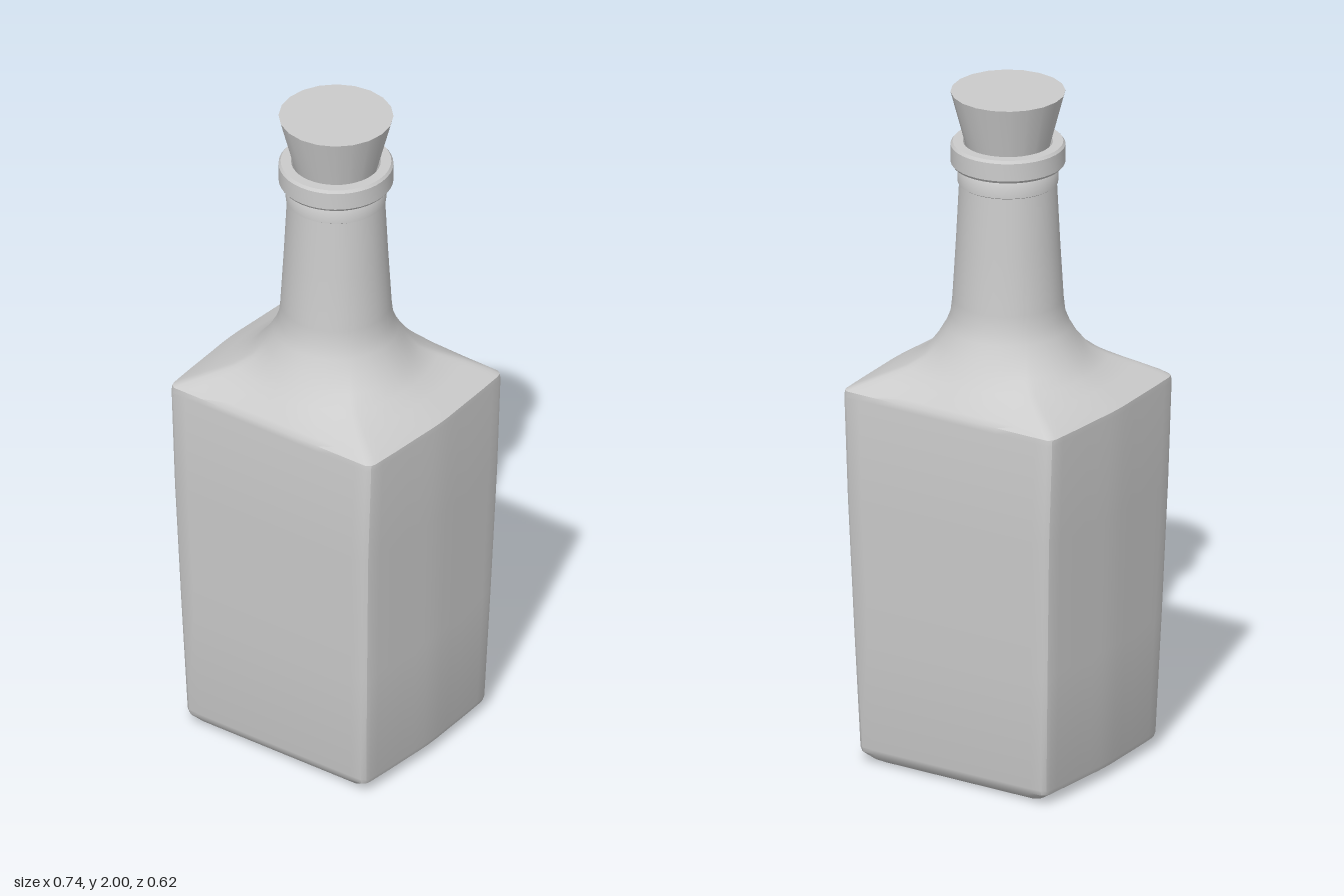
import * as THREE from 'three';
import { mergeVertices, toCreasedNormals } from 'three/addons/utils/BufferGeometryUtils.js';

// One quarter of the body outline in unit half-sizes: bowed side, cut corner, flat front
const quarter = [[1, 0], [0.998, 0.12], [0.99, 0.28], [0.982, 0.45], [0.973, 0.65], [0.963, 0.82], [0.957, 0.92],
  [0.945, 0.97], [0.91, 1], [0.8, 1], [0.65, 1], [0.45, 1], [0.28, 1], [0.12, 1]];

function unitOutline() {
  const mirrored = quarter.slice(1).reverse().map(([x, z]) => [-x, z]);
  const half = [...quarter, [0, 1], ...mirrored];
  return [...half, ...half.map(([x, z]) => [-x, -z])];
}

// Sections [y, halfX, halfZ, radius, roundness] joined bottom to top
function loft(sections) {
  const outline = unitOutline();
  const n = outline.length;
  const pos = [];
  const index = [];
  for (const [y, hx, hz, r, t] of sections) {
    for (const [u, v] of outline) {
      const a = Math.atan2(v * 0.31, u * 0.36);
      pos.push(THREE.MathUtils.lerp(u * hx, Math.cos(a) * r, t), y,
        THREE.MathUtils.lerp(v * hz, Math.sin(a) * r, t));
    }
  }
  for (let s = 0; s < sections.length - 1; s++) {
    for (let i = 0; i < n; i++) {
      const a = s * n + i;
      const b = s * n + (i + 1) % n;
      index.push(a, a + n, b, b, a + n, b + n);
    }
  }
  const g = new THREE.BufferGeometry();
  g.setAttribute('position', new THREE.Float32BufferAttribute(pos, 3));
  g.setIndex(index);
  return toCreasedNormals(mergeVertices(g), 0.65);
}

function lathe(points, sides) {
  const g = new THREE.LatheGeometry(points.map(([r, y]) => new THREE.Vector2(r, y)), sides);
  g.deleteAttribute('uv');
  g.deleteAttribute('normal');
  return toCreasedNormals(mergeVertices(g), 0.6);
}

export function createModel() {
  const model = new THREE.Group();
  const material = new THREE.MeshStandardMaterial({ color: 0xcccccc, side: THREE.DoubleSide });
  const add = (name, geometry) => {
    const mesh = new THREE.Mesh(geometry, material);
    mesh.name = name;
    model.add(mesh);
  };

  // Hollow base, tapered square body, shoulders blending into the round neck
  add('bottle', loft([
    [0.05, 0.001, 0.001, 0.001, 1],
    [0.045, 0, 0, 0.08, 1],
    [0.03, 0, 0, 0.15, 1],
    [0.005, 0.25, 0.22, 0.2, 0.1],
    [0.005, 0.27, 0.245, 0.2, 0],
    [0.015, 0.295, 0.262, 0.2, 0],
    [0.036, 0.327, 0.28, 0.2, 0],
    [0.05, 0.331, 0.283, 0.2, 0],
    [0.4, 0.344, 0.296, 0.2, 0],
    [0.8, 0.358, 0.309, 0.2, 0],
    [1.105, 0.37, 0.31, 0.2, 0],
    [1.122, 0.369, 0.308, 0.2, 0],
    [1.135, 0.35, 0.296, 0.33, 0.04],
    [1.163, 0.305, 0.268, 0.29, 0.25],
    [1.19, 0.262, 0.245, 0.253, 0.6],
    [1.22, 0.23, 0.22, 0.226, 0.9],
    [1.26, 0, 0, 0.198, 1],
    [1.3, 0, 0, 0.175, 1],
    [1.335, 0, 0, 0.161, 1],
    [1.38, 0, 0, 0.156, 1],
    [1.55, 0, 0, 0.146, 1],
    [1.73, 0, 0, 0.137, 1],
  ]));

  // Stepped collar and lip ring
  add('neckLip', lathe([[0.134, 1.725], [0.141, 1.73], [0.141, 1.77], [0.136, 1.778], [0.155, 1.782],
    [0.161, 1.79], [0.161, 1.842], [0.155, 1.85], [0.126, 1.85], [0.12, 1.84], [0.115, 1.74]], 40));

  // Flared stopper
  add('stopper', lathe([[0, 1.76], [0.098, 1.76], [0.161, 2], [0, 2]], 20));

  return model;
}
